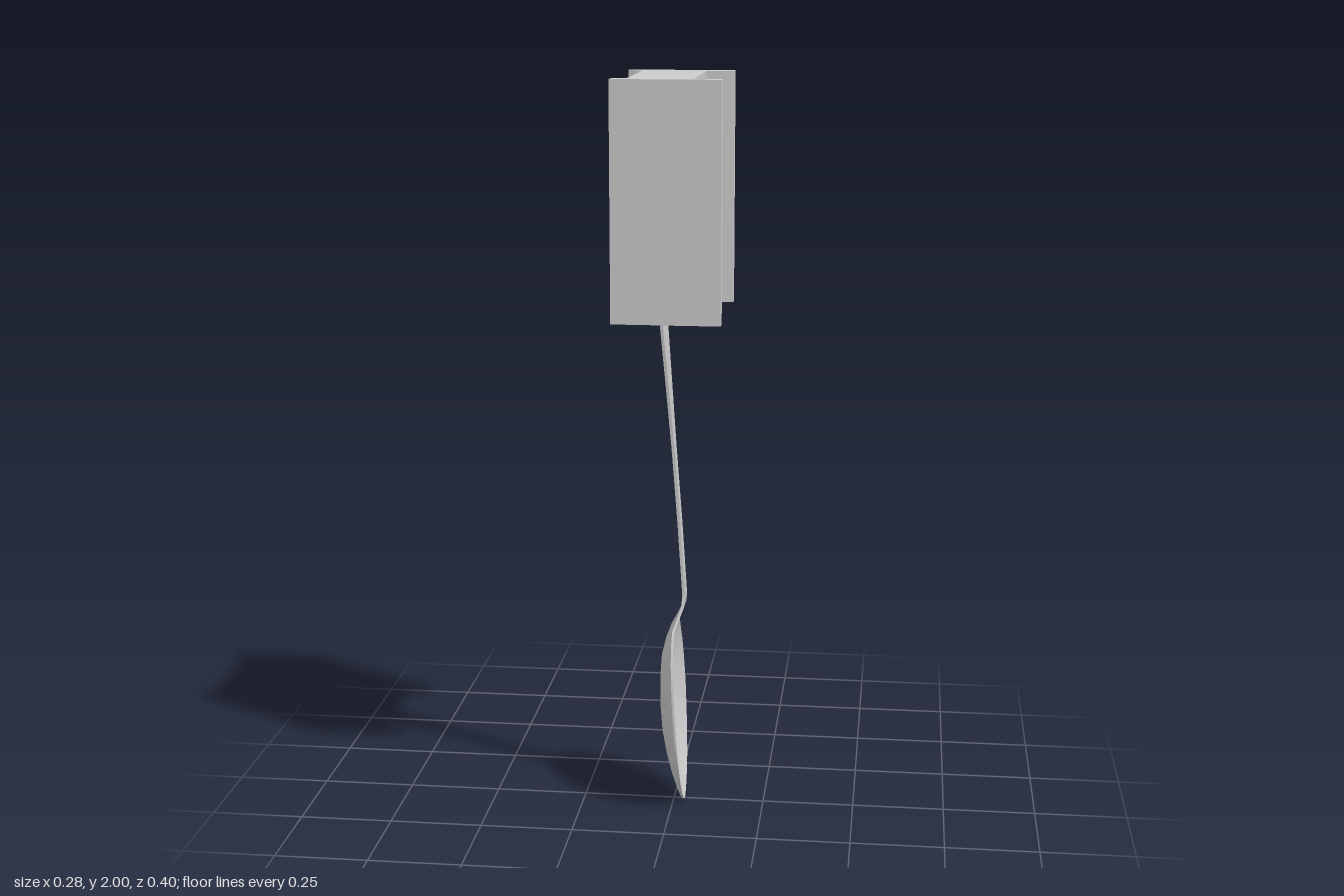
import * as THREE from 'three';
import { toCreasedNormals } from 'three/addons/utils/BufferGeometryUtils.js';

const material = new THREE.MeshStandardMaterial({ color: 0xcccccc });

// Lofts closed cross-sections; each row is [y, edge x, half width, hollow depth, thickness]
function loft(rows, segments) {
  const positions = [], indices = [];
  const n = 2 * (segments + 1);
  for (const [y, x, halfWidth, depth, thickness] of rows) {
    for (let i = 0; i < n; i++) {
      const back = i > segments;
      const u = -1 + 2 * (back ? n - 1 - i : i) / segments;
      const sag = depth * (1 - Math.abs(u) ** 2.4);
      positions.push(x - sag + (back ? -0.5 : 0.5) * thickness, y, halfWidth * u);
    }
  }
  for (let r = 0; r < rows.length - 1; r++) {
    for (let i = 0; i < n; i++) {
      const j = (i + 1) % n, a = r * n, b = a + n;
      indices.push(a + i, a + j, b + i, a + j, b + j, b + i);
    }
  }
  // End caps, bridging the front and back edges so they follow the hollow
  const end = (rows.length - 1) * n;
  for (let i = 0; i < segments; i++) {
    const p = i, q = i + 1, s = n - 2 - i, t = n - 1 - i;
    indices.push(p, s, q, p, t, s);
    indices.push(end + p, end + q, end + s, end + p, end + s, end + t);
  }
  const geometry = new THREE.BufferGeometry();
  geometry.setAttribute('position', new THREE.Float32BufferAttribute(positions, 3));
  geometry.setIndex(indices);
  return toCreasedNormals(geometry, 0.6);
}

function addMesh(group, name, geometry) {
  const mesh = new THREE.Mesh(geometry, material);
  mesh.name = name;
  group.add(mesh);
  return mesh;
}

export function createModel() {
  const group = new THREE.Group();
  group.name = 'spoonWithBeam';

  // I-shaped beam, drawn in plan and extruded upwards
  const half = [[-0.142, 0.2], [0.142, 0.2], [0.142, 0.17], [0.115, 0.167], [0.068, 0.165]];
  const webLeft = [[-0.102, 0.165], [-0.125, 0.167], [-0.142, 0.17]];
  const outline = [
    ...half,
    ...half.slice().reverse().map(([x, z]) => [x, -z]),
    ...webLeft.slice().reverse().map(([x, z]) => [x, -z]),
    ...webLeft,
  ];
  const shape = new THREE.Shape(outline.map(([x, z]) => new THREE.Vector2(x, -z)));
  const beam = new THREE.ExtrudeGeometry(shape, { depth: 0.62, bevelEnabled: false });
  beam.rotateX(-Math.PI / 2);
  addMesh(group, 'beam', beam).position.y = 1.38;

  // Flat handle, flaring towards the beam
  addMesh(group, 'handle', loft([
    [1.385, -0.03, 0.06, 0, 0.008],
    [1.2, -0.015, 0.041, 0, 0.008],
    [1.01, 0.0, 0.024, 0, 0.008],
    [0.8, 0.016, 0.023, 0, 0.008],
    [0.6, 0.029, 0.023, 0, 0.008],
  ], 2));

  // Neck and hollow bowl, open towards +x
  addMesh(group, 'bowl', loft([
    [0.6, 0.029, 0.023, 0, 0.008],
    [0.57, 0.027, 0.031, 0.001, 0.008],
    [0.54, 0.016, 0.046, 0.004, 0.007],
    [0.51, 0.005, 0.066, 0.01, 0.006],
    [0.475, 0.005, 0.094, 0.023, 0.006],
    [0.43, 0.007, 0.117, 0.036, 0.006],
    [0.37, 0.01, 0.134, 0.043, 0.006],
    [0.29, 0.014, 0.141, 0.047, 0.006],
    [0.22, 0.017, 0.136, 0.045, 0.006],
    [0.15, 0.021, 0.118, 0.037, 0.006],
    [0.09, 0.024, 0.093, 0.026, 0.006],
    [0.04, 0.026, 0.06, 0.013, 0.006],
    [0.014, 0.027, 0.033, 0.005, 0.006],
    [0.0, 0.028, 0.008, 0, 0.005],
  ], 10));

  return group;
}
